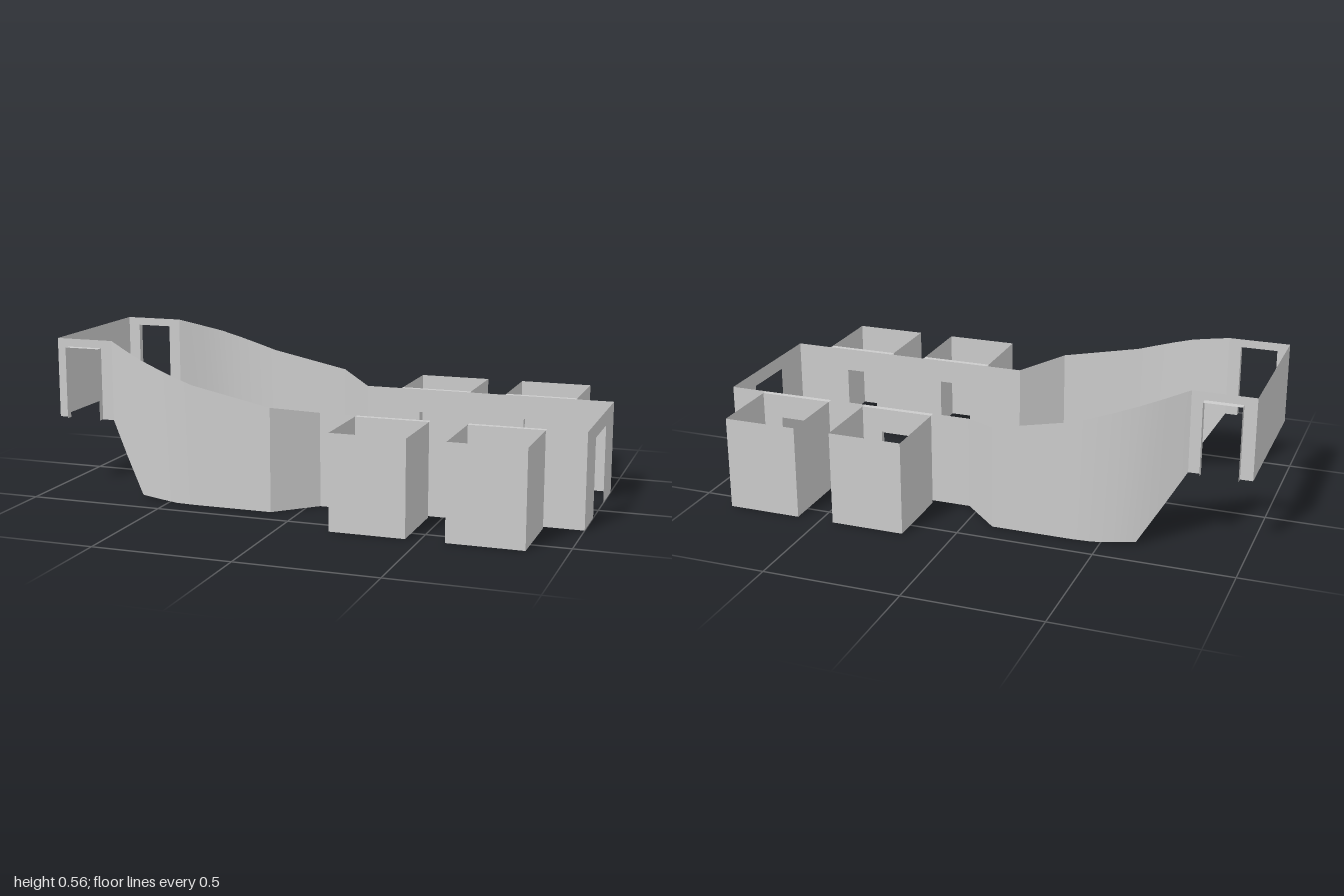
import * as THREE from 'three';

const grey = new THREE.MeshStandardMaterial({ color: 0xcccccc, side: THREE.DoubleSide });

function add(group, name, geometry) {
  const mesh = new THREE.Mesh(geometry, grey);
  mesh.name = name;
  group.add(mesh);
  return mesh;
}

// Thin surface lofted between two matching polylines of [x, y, z] points
function strip(a, b, smooth = false) {
  const pos = [], index = [];
  a.forEach((p, i) => {
    pos.push(...p, ...b[i]);
    if (i > 0) {
      const k = 2 * i;
      index.push(k - 2, k, k - 1, k, k + 1, k - 1);
    }
  });
  let g = new THREE.BufferGeometry();
  g.setAttribute('position', new THREE.Float32BufferAttribute(pos, 3));
  g.setIndex(index);
  if (!smooth) g = g.toNonIndexed();
  g.computeVertexNormals();
  return g;
}

// Flat wall from u0 to u1, with doorways [left, right, top] notched out of its lower edge
function wall(u0, u1, base, top, doors = []) {
  const s = new THREE.Shape();
  s.moveTo(u0, base);
  for (const [l, r, h] of doors) {
    s.lineTo(l, base);
    s.lineTo(l, h);
    s.lineTo(r, h);
    s.lineTo(r, base);
  }
  s.lineTo(u1, base);
  s.lineTo(u1, top);
  s.lineTo(u0, top);
  s.closePath();
  return new THREE.ShapeGeometry(s);
}

// Jambs and lintel joining z0 to z1 around a doorway
function reveal([l, r, h], base, z0, z1) {
  const path = [[l, base], [l, h], [r, h], [r, base]];
  return strip(path.map(([x, y]) => [x, y, z0]), path.map(([x, y]) => [x, y, z1]));
}

export function createModel() {
  const model = new THREE.Group();
  model.name = 'walls';

  const H = 0.345, TOP = 0.565, SILL = 0.265;
  const HALL = 0.275, ROOM = 0.295, OUTER = 0.575;
  const rooms = [[0.178, 0.45], [0.588, 0.86]];
  const doors = rooms.map(([a, b]) => [(a + b) / 2 - 0.062, (a + b) / 2 + 0.062, 0.256]);
  const sideDoor = [-0.955, -0.82, 0.535];

  // Curved hall side: x, bottom, top, z
  const curve = [
    [-0.775, SILL, TOP, 0.295], [-0.70, 0.14, 0.541, 0.336], [-0.62, 0.01, 0.516, 0.375],
    [-0.54, 0.005, 0.489, 0.394], [-0.47, 0, 0.465, 0.405], [-0.4, 0, 0.442, 0.41], [-0.1, 0, 0.38, 0.41],
  ];

  for (const s of [1, -1]) {
    const side = new THREE.Group();
    side.name = s > 0 ? 'frontSide' : 'backSide';
    model.add(side);

    // Corridor wall with two doorways
    add(side, 'corridorWall', wall(0.04, 1, 0, H, doors)).position.z = s * HALL;

    // Small rooms off the corridor
    rooms.forEach(([a, b], i) => {
      add(side, 'roomInnerWall', wall(a, b, 0, H, [doors[i]])).position.z = s * ROOM;
      const plan = [[a, ROOM], [a, OUTER], [b, OUTER], [b, ROOM]];
      add(side, 'roomWalls', strip(
        plan.map(([x, z]) => [x, 0, s * z]), plan.map(([x, z]) => [x, H, s * z])));
      add(side, 'roomDoorReveal', reveal(doors[i], 0, s * HALL, s * ROOM));
      add(side, 'wallCap', strip(
        [[a, H, s * HALL], [b, H, s * HALL]], [[a, H, s * ROOM], [b, H, s * ROOM]]));
    });

    // Curved wall and the angled wall leading to the corridor
    add(side, 'curvedWall', strip(
      curve.map(([x, y, , z]) => [x, y, s * z]), curve.map(([x, , y, z]) => [x, y, s * z]), true));
    add(side, 'angledWall', strip(
      [[-0.1, 0, s * 0.41], [0.04, 0, s * HALL]], [[-0.1, 0.38, s * 0.41], [0.04, H, s * HALL]]));

    // Raised side doorway
    add(side, 'raisedDoorWall', wall(-1, -0.775, SILL, TOP, [sideDoor])).position.z = s * ROOM;
    add(side, 'raisedDoorReveal', reveal(sideDoor, SILL, s * ROOM, s * 0.32));
  }

  // End walls
  const entry = add(model, 'entranceWall', wall(-HALL, HALL, 0, H, [[-0.107, 0.107, 0.29]]));
  entry.rotation.y = Math.PI / 2;
  entry.position.x = 1;
  const end = add(model, 'raisedEndWall', wall(-ROOM, ROOM, SILL, TOP));
  end.rotation.y = -Math.PI / 2;
  end.position.x = -1;

  return model;
}
